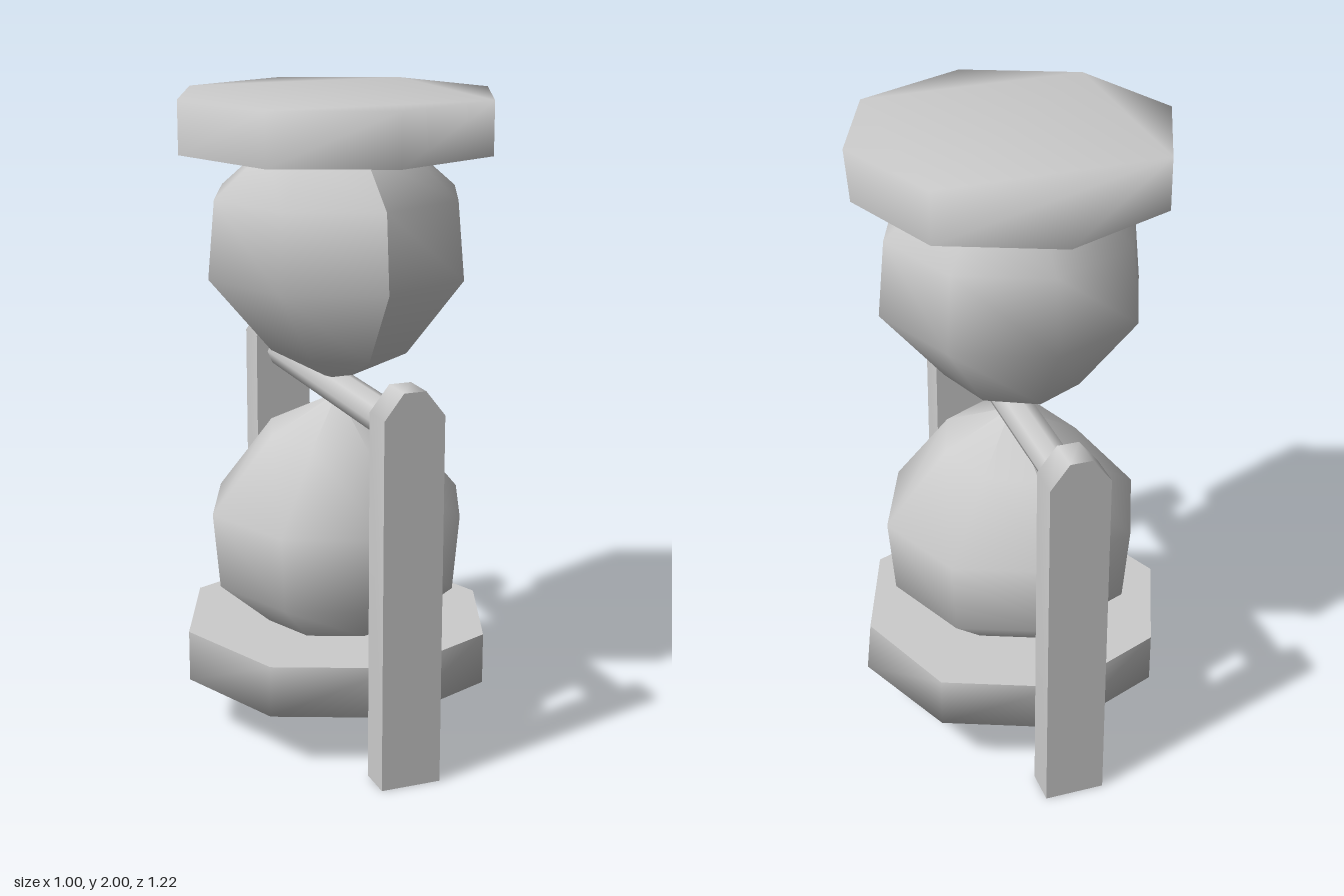
import * as THREE from 'three';
import { mergeGeometries, mergeVertices } from 'three/addons/utils/BufferGeometryUtils.js';

const material = new THREE.MeshStandardMaterial({ color: 0xcccccc, side: THREE.DoubleSide });
const SIDES = 8;
const MIDDLE = 1.0875; // height of the pivot, about which both halves mirror

function addMesh(parent, name, geometry) {
  const mesh = new THREE.Mesh(geometry, material);
  mesh.name = name;
  parent.add(mesh);
  return mesh;
}

// Octagonal plate: outer face shaded smoothly into the rim, inner face flat
function plateGeometry(radius, bottom, top) {
  const corners = Array.from({ length: SIDES }, (_, i) => {
    const a = (i / SIDES) * Math.PI * 2;
    return new THREE.Vector2(Math.sin(a) * radius, Math.cos(a) * radius);
  });
  const face = () => new THREE.ShapeGeometry(new THREE.Shape(corners));
  const rim = new THREE.CylinderGeometry(radius, radius, top - bottom, SIDES, 1, true);
  rim.translate(0, (top + bottom) / 2, 0);
  const outer = face().rotateX(-Math.PI / 2).translate(0, top, 0);
  const inner = face().rotateX(Math.PI / 2).translate(0, bottom, 0);

  // One corner of the inner edge is slightly drawn in
  for (const g of [rim, inner]) {
    const p = g.attributes.position;
    for (let i = 0; i < p.count; i++) {
      if (p.getX(i) > radius - 0.01 && p.getY(i) < bottom + 0.01) p.setX(i, radius - 0.015);
    }
  }
  let shell = mergeGeometries([rim, outer]);
  shell.deleteAttribute('uv');
  shell.deleteAttribute('normal');
  shell = mergeVertices(shell, 1e-3);
  shell.computeVertexNormals();
  inner.deleteAttribute('uv');
  inner.computeVertexNormals();
  return mergeGeometries([shell, inner]);
}

// Glass bulb: eight-sided lathe, its lowest ring pinched sideways
function bulbGeometry() {
  const profile = [[0, 1.105], [0.265, 1.225], [0.415, 1.46], [0.393, 1.7], [0.23, 1.84]];
  const g = new THREE.LatheGeometry(
    profile.map(([r, y]) => new THREE.Vector2(r, y - MIDDLE)), SIDES);
  const p = g.attributes.position;
  for (let i = 0; i < p.count; i++) {
    if (Math.abs(p.getY(i) - (1.225 - MIDDLE)) < 0.01) p.setX(i, p.getX(i) * 0.82);
  }
  g.computeVertexNormals();
  return mergeVertices(g);
}

// Post: chamfered outline with flat front and back, open underneath
function postGeometry(depth) {
  const outline = [[0.094, 0], [0.094, 1.146], [0.034, 1.223], [-0.034, 1.223], [-0.094, 1.146], [-0.094, 0]]
    .map(([x, y]) => new THREE.Vector2(x, y));
  const wall = new THREE.PlaneGeometry(1, depth, outline.length - 1, 1);
  const p = wall.attributes.position;
  for (let i = 0; i < p.count; i++) {
    const o = outline[i % outline.length];
    p.setXYZ(i, o.x, o.y, p.getY(i));
  }
  wall.computeVertexNormals();
  const front = new THREE.ShapeGeometry(new THREE.Shape(outline));
  const back = front.clone().rotateY(Math.PI);
  return mergeGeometries([wall, front.translate(0, 0, depth / 2), back.translate(0, 0, -depth / 2)]);
}

export function createModel() {
  const model = new THREE.Group();
  model.name = 'hourglass';

  // Upper and lower halves, mirrored about the pivot
  for (const half of ['upper', 'lower']) {
    const group = new THREE.Group();
    group.name = half + 'Half';
    group.position.y = MIDDLE;
    if (half === 'lower') group.rotation.x = Math.PI;
    addMesh(group, half + 'Bulb', bulbGeometry());
    addMesh(group, half + 'Plate', plateGeometry(0.5, 1.838 - MIDDLE, 2 - MIDDLE));
    model.add(group);
  }

  // Pivot bar between the posts
  const bar = addMesh(model, 'pivotBar', new THREE.CylinderGeometry(0.056, 0.056, 1, SIDES, 1, true));
  bar.rotation.x = Math.PI / 2;
  bar.position.y = 1.09;

  // Front and back posts
  for (const side of [1, -1]) {
    const post = addMesh(model, side > 0 ? 'frontPost' : 'backPost', postGeometry(0.11));
    post.position.z = side * 0.554;
  }
  return model;
}
